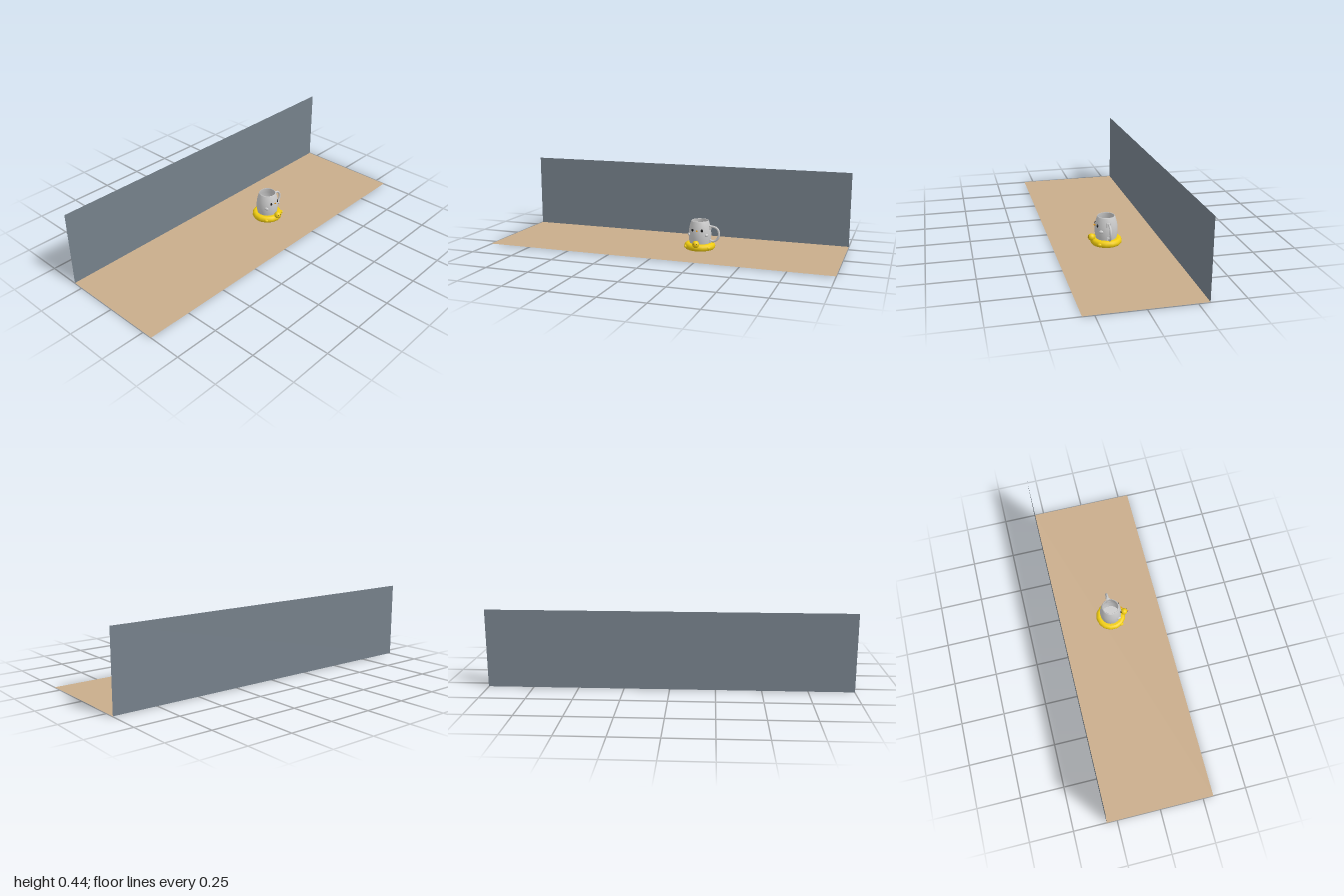
import * as THREE from 'three';

const CX = 0.193, CZ = 0.0035; // centre of mug and saucer

const mat = (color, side = THREE.FrontSide) => new THREE.MeshStandardMaterial({ color, side });
const grey = mat(0xcccccc), yellow = mat(0xf0cc10), orange = mat(0xe0930f), black = mat(0x151515);

function add(parent, name, geometry, material, x = 0, y = 0, z = 0) {
  const mesh = new THREE.Mesh(geometry, material);
  mesh.name = name;
  mesh.position.set(x, y, z);
  parent.add(mesh);
  return mesh;
}

// Flattened ball with separate radii
const ball = (rx, ry, rz) => new THREE.SphereGeometry(1, 16, 12).scale(rx, ry, rz);

// Turned shape; repeated points keep an edge crisp
const turned = (points, sides) =>
  new THREE.LatheGeometry(points.map(([r, y]) => new THREE.Vector2(r, y)), sides);

// Cone pointing to the front
const beak = (r, length) => new THREE.ConeGeometry(r, length, 8).rotateX(Math.PI / 2);

export function createModel() {
  const model = new THREE.Group();
  model.name = 'mugOnTable';

  // Thin table top and back wall
  const tableTop = add(model, 'tableTop', new THREE.PlaneGeometry(2, 0.62),
    mat(0xc8ac8a, THREE.DoubleSide), 0, 0.002, 0);
  tableTop.rotation.x = -Math.PI / 2;
  add(model, 'backWall', new THREE.PlaneGeometry(2, 0.433),
    mat(0x75808a, THREE.DoubleSide), 0, 0.2185, -0.31);

  // Rounded saucer shaped like a swim ring
  const saucer = new THREE.Group();
  saucer.name = 'saucer';
  saucer.position.set(CX, 0, CZ);
  model.add(saucer);
  add(saucer, 'saucerRing', turned([
    [0, 0], [0.074, 0], [0.074, 0], [0.083, 0.004], [0.088, 0.012], [0.089, 0.02],
    [0.087, 0.029], [0.081, 0.036], [0.073, 0.038], [0.073, 0.038], [0, 0.038],
  ], 14), yellow);
  add(saucer, 'duckHead', ball(0.02, 0.021, 0.02), yellow, 0, 0.044, 0.084);
  add(saucer, 'duckBeak', beak(0.005, 0.014), orange, 0, 0.046, 0.104);

  // Barrel-shaped hollow mug
  const mug = new THREE.Group();
  mug.name = 'mug';
  mug.position.set(CX, 0, CZ);
  model.add(mug);
  add(mug, 'mugBody', turned([
    [0, 0.037], [0.059, 0.037], [0.059, 0.037], [0.063, 0.058], [0.0655, 0.088],
    [0.063, 0.115], [0.058, 0.14], [0.051, 0.164], [0.048, 0.168], [0.045, 0.165],
    [0.052, 0.138], [0.057, 0.11], [0.058, 0.085], [0.054, 0.048], [0.054, 0.048], [0, 0.048],
  ], 24), grey);

  // C-shaped handle with a pad at each end
  const path = new THREE.CatmullRomCurve3([
    [0.056, 0.13], [0.078, 0.134], [0.102, 0.124], [0.113, 0.096],
    [0.106, 0.067], [0.086, 0.051], [0.058, 0.05],
  ].map(([x, y]) => new THREE.Vector3(x, y, 0)));
  add(mug, 'handle', new THREE.TubeGeometry(path, 28, 0.0065, 10, false), grey);
  add(mug, 'handleUpperPad', new THREE.BoxGeometry(0.014, 0.024, 0.022), grey, 0.059, 0.129, 0);
  add(mug, 'handleLowerPad', new THREE.BoxGeometry(0.014, 0.018, 0.02), grey, 0.06, 0.049, 0);

  // Face
  add(mug, 'mugBeak', beak(0.007, 0.02), orange, 0, 0.116, 0.067);

  // Mirrored eyes and little wings
  for (const [side, s] of [['left', 1], ['right', -1]]) {
    add(mug, side + 'Eye', ball(0.0075, 0.008, 0.005), black, s * 0.027, 0.118, 0.055);
    const mugWing = add(mug, side + 'MugWing', ball(0.007, 0.009, 0.013), grey, s * 0.052, 0.09, 0.04);
    mugWing.rotation.y = s * -0.3;
    const saucerWing = add(saucer, side + 'SaucerWing', ball(0.007, 0.009, 0.012), yellow,
      s * 0.07, 0.021, 0.054);
    saucerWing.rotation.y = s * -0.4;
    add(saucer, side + 'DuckEye', ball(0.0025, 0.003, 0.002), black, s * 0.009, 0.05, 0.1005);
  }
  return model;
}
